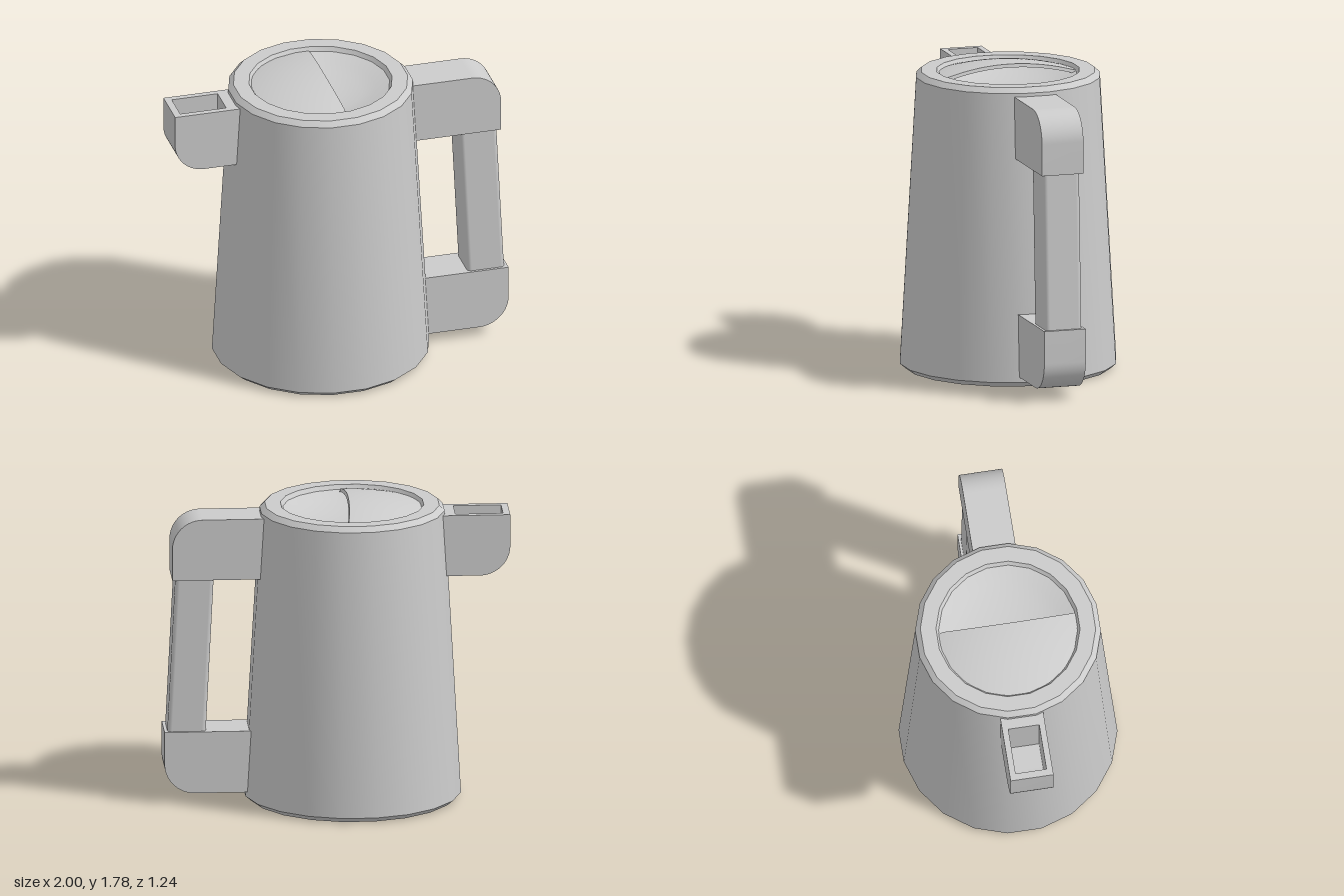
import * as THREE from 'three';
import { toCreasedNormals } from 'three/addons/utils/BufferGeometryUtils.js';
import { RoundedBoxGeometry } from 'three/addons/geometries/RoundedBoxGeometry.js';
import { ParametricGeometry } from 'three/addons/geometries/ParametricGeometry.js';

const AXIS_X = -0.095; // centre line of the jug body
const SIDES = 20;

export function createModel() {
  const root = new THREE.Group();
  const grey = new THREE.MeshStandardMaterial({ color: 0xcccccc });
  const greyDouble = new THREE.MeshStandardMaterial({ color: 0xcccccc, side: THREE.DoubleSide });

  const add = (name, geometry, material = grey, parent = root) => {
    const mesh = new THREE.Mesh(geometry, material);
    mesh.name = name;
    parent.add(mesh);
    return mesh;
  };

  // Turned part with flat sides facing the axes; profile runs bottom to top on the outside
  const turned = (profile, sides = SIDES) => {
    const points = profile.map(([r, y]) => new THREE.Vector2(r, y));
    const geometry = new THREE.LatheGeometry(points, sides).rotateY(Math.PI / sides);
    return toCreasedNormals(geometry, 0.5).translate(AXIS_X, 0, 0);
  };

  // Profile in the xy plane extruded between two z values
  const slab = (shape, z0, z1) => {
    const geometry = new THREE.ExtrudeGeometry(shape, { depth: z1 - z0, bevelEnabled: false, curveSegments: 10 });
    return toCreasedNormals(geometry.translate(0, 0, z0), 0.5);
  };

  // Body: recessed base, tapered wall, chamfered rim and the dished opening
  add('body', turned([
    [0, 0.15], [0.1, 0.145], [0.15, 0.1], [0.175, 0],
    [0.595, 0], [0.63, 0.03], [0.535, 1.71], [0.505, 1.74],
    [0.415, 1.74], [0.4, 1.715], [0.39, 1.712],
    [0.32, 1.685], [0.24, 1.665], [0.14, 1.65], [0, 1.645],
  ]));

  // Small hollow connector inside the base recess
  add('baseConnector', turned([
    [0.025, 0.16], [0.025, 0.075], [0.04, 0.07], [0.05, 0.08], [0.05, 0.16],
  ], 12), greyDouble);

  // Half-dome lid, cut along a leaning, slightly bowed edge
  const lid = new THREE.Group();
  lid.name = 'lid';
  root.add(lid);
  const LID_R = 0.4, LID_THICK = 0.02;
  const domePoint = (u, s, drop, target) => {
    const z = (u * 2 - 1) * LID_R * 0.995;
    const rim = Math.sqrt(LID_R * LID_R - z * z);
    const seam = Math.min(rim, 0.022 + 0.15 * z * z);
    const x = THREE.MathUtils.lerp(-rim, seam, s);
    const y = 1.777 - 0.36 * (x * x + z * z) - drop;
    target.set(x + AXIS_X + drop * 0.3 * s, y, z);
  };
  add('lidTop', new ParametricGeometry((u, v, p) => domePoint(u, v, 0, p), 24, 12), greyDouble, lid);
  add('lidUnderside', new ParametricGeometry((u, v, p) => domePoint(u, v, LID_THICK, p), 24, 12), greyDouble, lid);
  add('lidEdge', new ParametricGeometry((u, v, p) => domePoint(u, 1, v * LID_THICK, p), 24, 1), greyDouble, lid);

  // Handle: two corner blocks joined by a leaning grip
  const handle = new THREE.Group();
  handle.name = 'handle';
  root.add(handle);
  const R = 0.175, HALF = 0.125;

  const upper = new THREE.Shape();
  upper.moveTo(0.37, 1.33).lineTo(0.95, 1.33);
  upper.absarc(0.95 - R, 1.69 - R, R, 0, Math.PI / 2);
  upper.lineTo(0.37, 1.69);
  add('upperHandleBlock', slab(upper, -HALF, HALF), grey, handle);

  const lower = new THREE.Shape();
  lower.moveTo(0.43, 0.425).lineTo(0.43, 0.06);
  lower.absarc(0.995 - R, 0.06 + R, R, -Math.PI / 2, 0);
  lower.lineTo(0.995, 0.425);
  add('lowerHandleBlock', slab(lower, -HALF, HALF), grey, handle);

  const grip = new RoundedBoxGeometry(0.222, 0.98, 0.22, 3, 0.025);
  grip.applyMatrix4(new THREE.Matrix4().set(1, -0.05, 0, 0.843, 0, 1, 0, 0.88, 0, 0, 1, 0, 0, 0, 0, 1));
  add('handleGrip', grip, grey, handle);

  // Spout: open-topped trough made of a core channel and two side walls
  const spout = new THREE.Group();
  spout.name = 'spout';
  root.add(spout);
  const outline = (shape) => {
    shape.moveTo(-0.58, 1.69).lineTo(-0.58, 1.69);
    return shape;
  };
  const wall = outline(new THREE.Shape());
  wall.lineTo(-1, 1.69);
  wall.absarc(-1 + R, 1.33 + R, R, Math.PI, Math.PI * 1.5);
  wall.lineTo(-0.58, 1.33);

  const channel = outline(new THREE.Shape());
  channel.lineTo(-0.685, 1.69).lineTo(-0.685, 1.37);
  channel.absarc(-1 + R, 1.33 + R, R - 0.04, Math.PI * 1.5, Math.PI, true);
  channel.lineTo(-0.96, 1.69).lineTo(-1, 1.69);
  channel.absarc(-1 + R, 1.33 + R, R, Math.PI, Math.PI * 1.5);
  channel.lineTo(-0.58, 1.33);

  add('spoutChannel', slab(channel, -0.09, 0.09), grey, spout);
  for (const [name, z] of [['spoutLeftWall', 0.09], ['spoutRightWall', -HALF]]) {
    add(name, slab(wall, z, z + HALF - 0.09), grey, spout);
  }

  return root;
}
